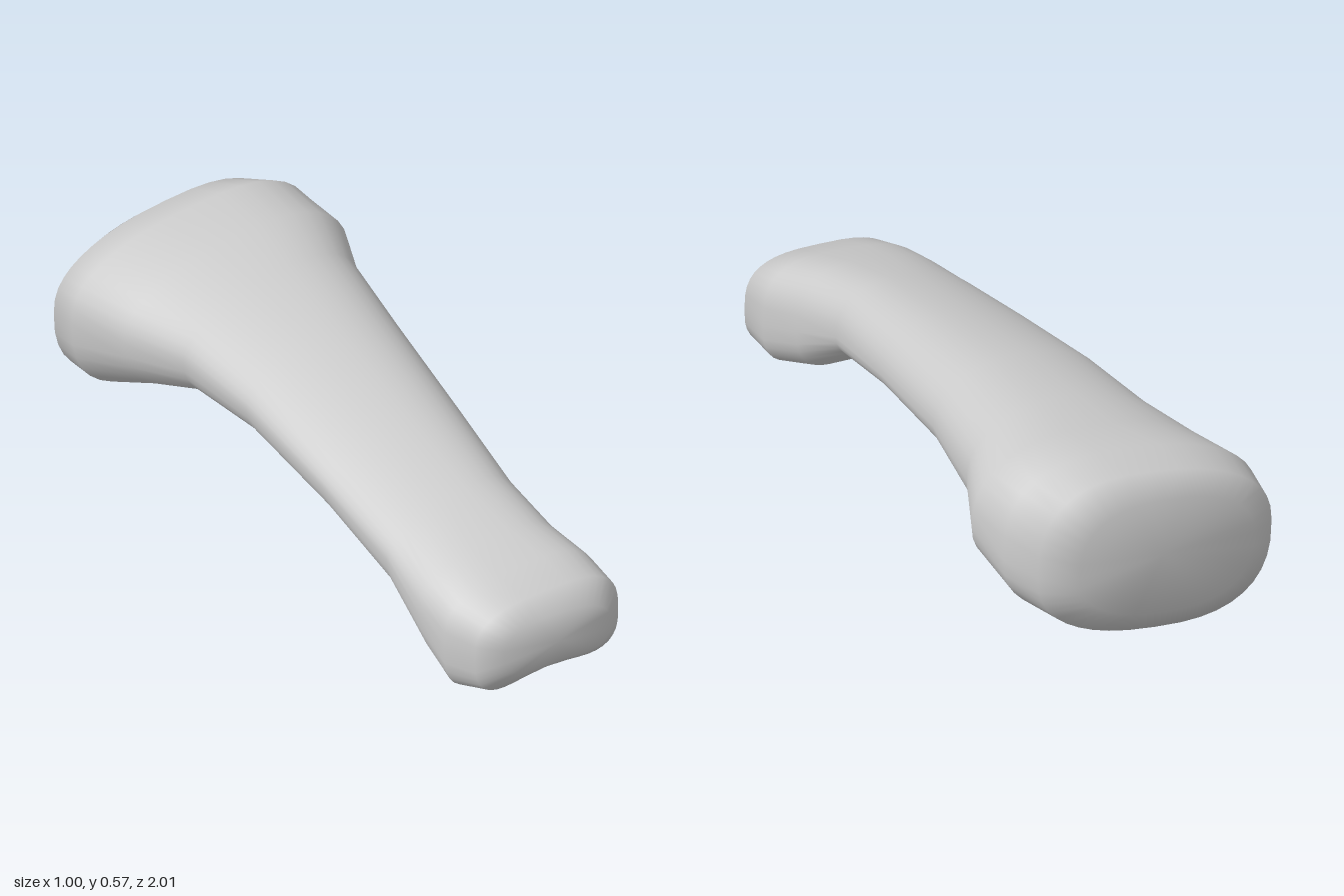
import * as THREE from 'three';

// Cross-sections from the wide base (back) to the head (front):
// z, slant, xMin, xMax, yMin, yMax, squareness, top tilt, bottom tilt, bottom groove
const SECTIONS = [
  [-0.93, 0.28, -0.12, 0.40, 0.11, 0.47, 2.4, 0.03, 0.03, 0],
  [-0.87, 0.31, -0.21, 0.47, 0.03, 0.53, 2.5, 0.05, 0.04, 0],
  [-0.77, 0.30, -0.24, 0.50, 0.05, 0.56, 2.6, 0.05, 0.05, 0],
  [-0.60, 0.25, -0.24, 0.48, 0.12, 0.55, 2.3, 0.04, 0.03, 0],
  [-0.42, 0.20, -0.23, 0.36, 0.20, 0.54, 2.2, 0.03, 0.02, 0.02],
  [-0.15, 0.20, -0.28, 0.24, 0.23, 0.52, 2.1, 0.03, 0.02, 0.03],
  [0.20, 0.20, -0.36, 0.11, 0.20, 0.46, 2.1, 0.04, 0.03, 0.03],
  [0.50, 0.22, -0.43, 0.00, 0.14, 0.40, 2.3, 0.04, 0.03, 0.03],
  [0.68, 0.25, -0.48, -0.03, 0.02, 0.36, 2.7, 0.03, 0.01, 0.04],
  [0.80, 0.30, -0.50, -0.03, -0.03, 0.33, 3.0, 0.02, 0.02, 0.06],
  [0.90, 0.30, -0.49, -0.05, 0.00, 0.30, 3.0, 0.01, 0.01, 0.04],
  [0.95, 0.33, -0.44, -0.12, 0.07, 0.25, 2.6, 0, 0, 0.02],
];
const SIDES = 40;

// One slanted, squarish ring
function ring([z, slant, x0, x1, y0, y1, n, topTilt, bottomTilt, groove]) {
  const cx = (x0 + x1) / 2, cy = (y0 + y1) / 2;
  const points = [];
  for (let i = 0; i < SIDES; i++) {
    const a = (i / SIDES) * Math.PI * 2;
    const c = Math.cos(a), s = Math.sin(a);
    const u = Math.sign(c) * Math.abs(c) ** (2 / n);
    const v = Math.sign(s) * Math.abs(s) ** (2 / n);
    const x = cx + (u * (x1 - x0)) / 2;
    let y = cy + (v * (y1 - y0)) / 2;
    if (v > 0) y += v * topTilt * u;
    else y -= v * (bottomTilt * u + groove * (1 - u * u) ** 2);
    points.push(new THREE.Vector3(x, y, z + slant * (x - cx)));
  }
  return points;
}

// Skin the rings and close both ends with slightly domed caps
function loft(rings, domes) {
  const positions = [], index = [];
  for (const r of rings) for (const p of r) positions.push(p.x, p.y, p.z);
  for (let k = 0; k < rings.length - 1; k++) {
    for (let i = 0; i < SIDES; i++) {
      const j = (i + 1) % SIDES;
      const a = k * SIDES + i, b = k * SIDES + j;
      index.push(a, b, b + SIDES, a, b + SIDES, a + SIDES);
    }
  }
  [0, rings.length - 1].forEach((k, end) => {
    const centre = new THREE.Vector3();
    rings[k].forEach((p) => centre.addScaledVector(p, 1 / SIDES));
    centre.z += domes[end];
    const c = positions.length / 3;
    positions.push(centre.x, centre.y, centre.z);
    for (let i = 0; i < SIDES; i++) {
      const a = k * SIDES + i, b = k * SIDES + ((i + 1) % SIDES);
      if (end) index.push(c, a, b);
      else index.push(c, b, a);
    }
  });
  const geometry = new THREE.BufferGeometry();
  geometry.setAttribute('position', new THREE.Float32BufferAttribute(positions, 3));
  geometry.setIndex(index);
  geometry.computeVertexNormals();
  return geometry;
}

export function createModel() {
  const group = new THREE.Group();
  group.name = 'footBone';
  // Base, shaft and head as one continuous surface
  const bone = new THREE.Mesh(
    loft(SECTIONS.map(ring), [0.01, 0.01]),
    new THREE.MeshStandardMaterial({ color: 0xcccccc })
  );
  bone.name = 'bone';
  group.add(bone);
  return group;
}
